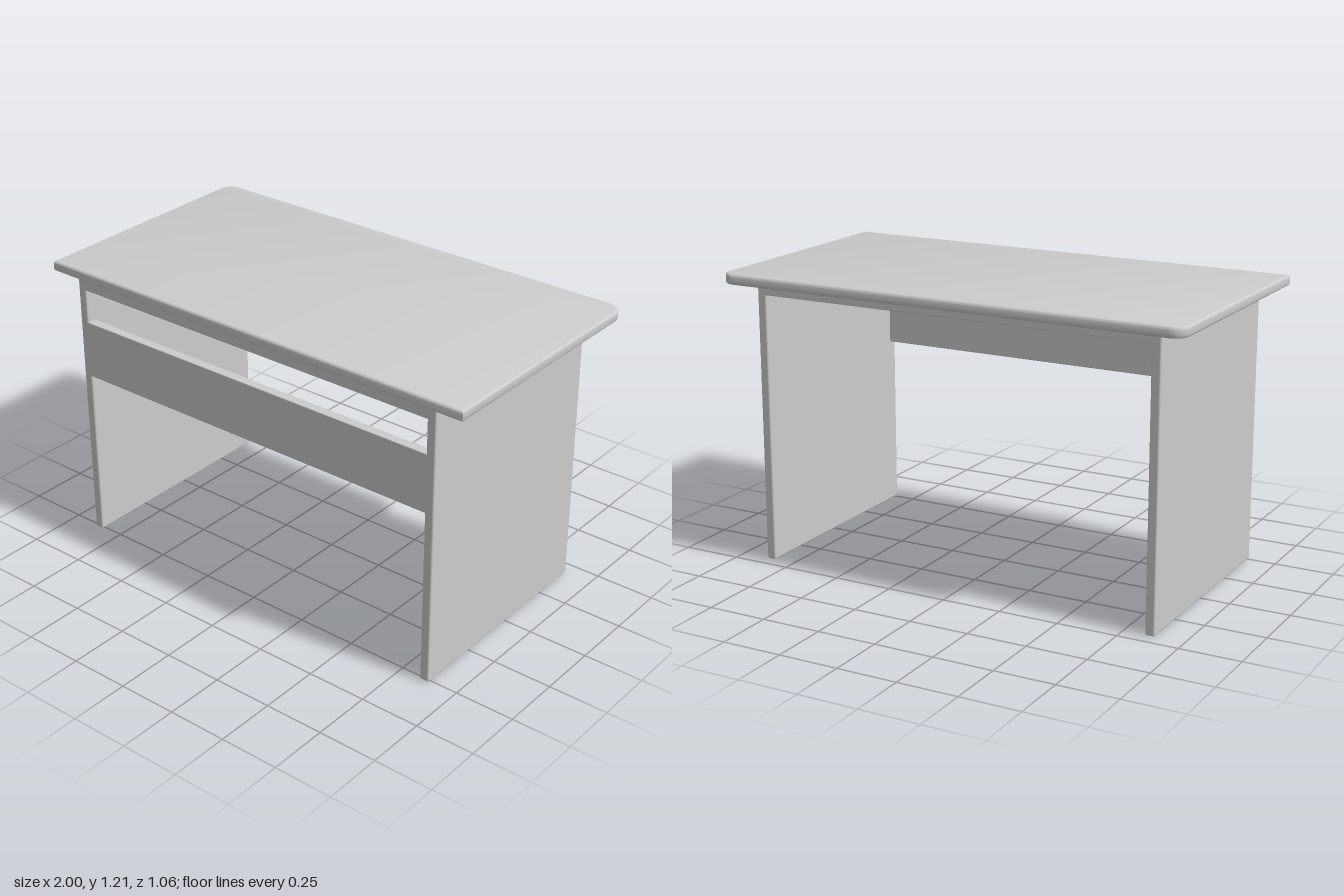
import * as THREE from 'three';
import { toCreasedNormals } from 'three/addons/utils/BufferGeometryUtils.js';
import { RoundedBoxGeometry } from 'three/addons/geometries/RoundedBoxGeometry.js';

export function createModel() {
  const desk = new THREE.Group();
  desk.name = 'desk';
  const grey = new THREE.MeshStandardMaterial({ color: 0xcccccc });
  grey.name = 'light grey';

  const add = (name, geometry) => {
    const mesh = new THREE.Mesh(geometry, grey);
    mesh.name = name;
    desk.add(mesh);
    return mesh;
  };

  // Softly rounded panel given by its x, y and z limits
  const panel = (name, [x0, x1], [y0, y1], [z0, z1], radius = 0.007) => {
    const geometry = new RoundedBoxGeometry(x1 - x0, y1 - y0, z1 - z0, 2, radius);
    geometry.translate((x0 + x1) / 2, (y0 + y1) / 2, (z0 + z1) / 2);
    return add(name, geometry);
  };

  // Tabletop: square front corners, rounded back corners, eased edges
  const w = 1, d = 0.53, r = 0.06, bevel = 0.01;
  const outline = new THREE.Shape();
  outline.moveTo(-w, -d);
  outline.lineTo(w, -d);
  outline.lineTo(w, d - r);
  outline.absarc(w - r, d - r, r, 0, Math.PI / 2, false);
  outline.lineTo(-w + r, d);
  outline.absarc(-w + r, d - r, r, Math.PI / 2, Math.PI, false);
  outline.closePath();
  const top = new THREE.ExtrudeGeometry(outline, {
    depth: 0.043 - 2 * bevel, bevelThickness: bevel, bevelSize: bevel,
    bevelOffset: -bevel, bevelSegments: 3, curveSegments: 8,
  });
  top.rotateX(-Math.PI / 2);
  top.translate(0, 1.167 + bevel, 0);
  add('tabletop', toCreasedNormals(top, 0.7));

  // Panel under the top, joining the two sides
  panel('underTopPanel', [-0.87, 0.87], [1.12, 1.175], [-0.445, 0.515], 0.004);

  // Full-depth side legs
  for (const [name, s] of [['leftLeg', 1], ['rightLeg', -1]]) {
    panel(name, s > 0 ? [0.84, 0.88] : [-0.88, -0.84], [0, 1.175], [-0.445, 0.515]);
  }

  // Front crossbar, flush with the front edges of the legs
  panel('crossbar', [-0.86, 0.86], [0.735, 0.98], [0.475, 0.515], 0.004);

  return desk;
}
